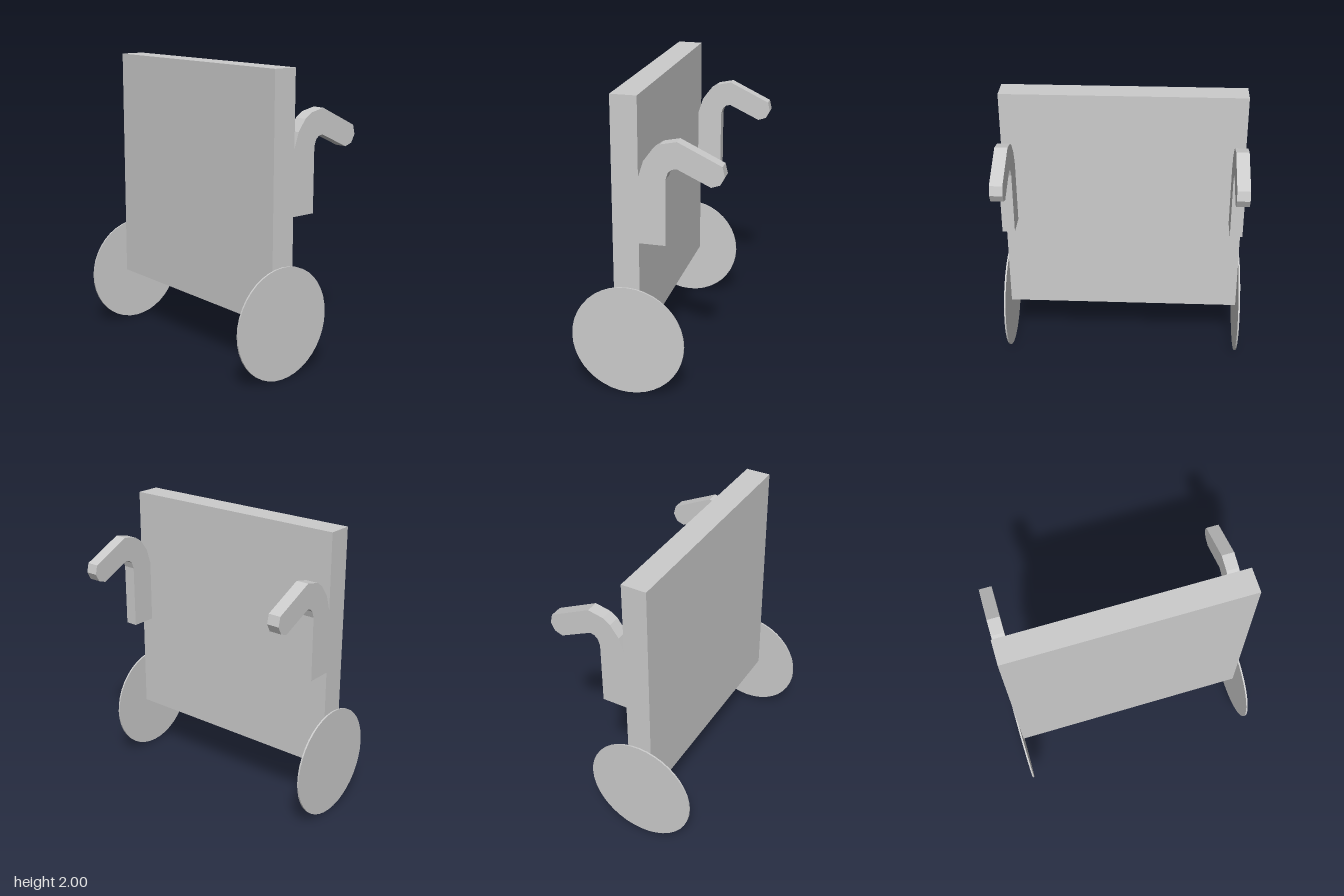
import * as THREE from 'three';

export function createModel() {
  const group = new THREE.Group();
  const material = new THREE.MeshStandardMaterial({ color: 0xcccccc, flatShading: true });
  const add = (name, geometry, x, y, z) => {
    const mesh = new THREE.Mesh(geometry, material);
    mesh.name = name;
    mesh.position.set(x, y, z);
    group.add(mesh);
  };

  // Upright panel
  add('panel', new THREE.BoxGeometry(0.17, 1.62, 1.63), -0.125, 1.19, 0);

  // Hooked handle outline: straight stem, rounded bend, drooping grip
  const outline = [
    [-0.04, 1.065], [0.132, 1.065], [0.132, 1.495], [0.147, 1.54], [0.17, 1.56], [0.2, 1.567],
    [0.413, 1.468], [0.467, 1.487], [0.495, 1.54], [0.48, 1.603], [0.203, 1.735],
    [0.1, 1.713], [0.05, 1.678], [-0.007, 1.6], [-0.04, 1.495],
  ].map(([x, y]) => new THREE.Vector2(x, y));
  const handleDepth = 0.085;
  const handle = new THREE.ExtrudeGeometry(new THREE.Shape(outline), { depth: handleDepth, bevelEnabled: false });
  handle.translate(0, 0, -handleDepth / 2);

  // Thin disc wheel
  const radius = 0.376;
  const wheel = new THREE.CylinderGeometry(radius, radius, 0.011, 40);
  wheel.rotateX(Math.PI / 2);

  // One handle and one wheel on each edge of the panel
  for (const side of [1, -1]) {
    const label = side > 0 ? 'front' : 'back';
    add(label + 'Handle', handle, 0, 0, side * (0.815 - handleDepth / 2));
    add(label + 'Wheel', wheel, -0.125, 0.378, side * 0.8205);
  }
  return group;
}
